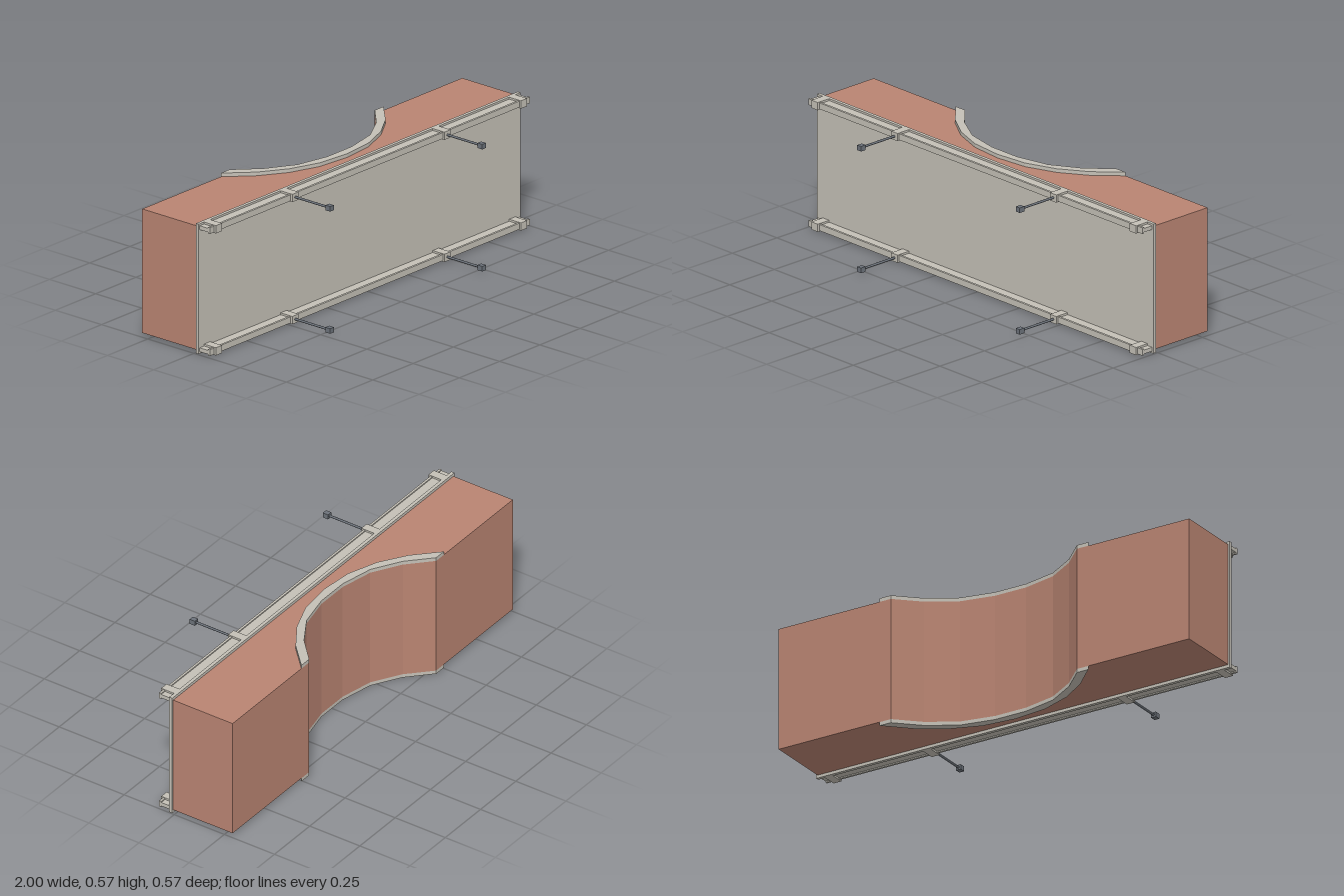
import * as THREE from 'three';

const stone = new THREE.MeshStandardMaterial({ color: 0xc4c0b6 });
stone.name = 'pale grey';
const brick = new THREE.MeshStandardMaterial({ color: 0xb98472 });
brick.name = 'terracotta';
const steel = new THREE.MeshStandardMaterial({ color: 0x6c727a });
steel.name = 'dark steel';

const MID = 0.2865; // mid height, rails and trims mirror about it
const BACK = -0.286;

// Right half of the recess curves, as [x, z]
const innerHalf = [[0.075, -0.083], [0.225, -0.115], [0.35, -0.19], [0.45, BACK]];
const outerHalf = [[0.15, -0.058], [0.285, -0.108], [0.4, -0.183], [0.505, BACK]];
const mirrored = (half, apex = []) => [
  ...half.map(([x, z]) => [-x, z]).reverse(), ...apex, ...half,
];

// Extrude a plan outline of [x, z] points upwards from y0 to y1
function slab(points, y0, y1) {
  const shape = new THREE.Shape(points.map(([x, z]) => new THREE.Vector2(x, -z)));
  const geo = new THREE.ExtrudeGeometry(shape, { depth: y1 - y0, bevelEnabled: false });
  geo.rotateX(-Math.PI / 2);
  geo.translate(0, y0, 0);
  return geo;
}

function add(parent, name, geo, mat) {
  const mesh = new THREE.Mesh(geo, mat);
  mesh.name = name;
  parent.add(mesh);
  return mesh;
}

// Box centred on (x, y), spanning z0 to z1
function box(parent, name, mat, x, y, w, h, z0, z1) {
  const mesh = add(parent, name, new THREE.BoxGeometry(w, h, z1 - z0), mat);
  mesh.position.set(x, y, (z0 + z1) / 2);
  return mesh;
}

export function createModel() {
  const model = new THREE.Group();
  model.name = 'wallBlock';

  // Solid body with the curved recess in its back
  const inner = mirrored(innerHalf);
  const body = [[-0.993, 0.01], [-0.993, BACK], ...inner, [0.993, BACK], [0.993, 0.01]];
  add(model, 'body', slab(body, 0.016, 0.557), brick);

  // Curved trims above and below the recess
  const outer = mirrored(outerHalf, [[0, -0.043]]);
  const trim = [...outer, ...[...inner].reverse()];
  add(model, 'lowerTrim', slab(trim, 0, 0.016), stone);
  add(model, 'upperTrim', slab(trim, 0.557, 0.573), stone);

  // Front facing panel
  box(model, 'frontPanel', stone, 0, MID, 2, 0.567, 0.01, 0.025);

  for (const side of [-1, 1]) {
    const rail = new THREE.Group();
    rail.name = side > 0 ? 'upperRail' : 'lowerRail';
    const y = MID + side * 0.2665;

    // T-shaped rail
    box(rail, 'railWeb', stone, 0, y, 1.986, 0.017, 0.025, 0.07);
    box(rail, 'railFlange', stone, 0, y, 1.986, 0.027, 0.07, 0.08);

    // Clamps over the rail
    for (const x of [-0.947, -0.472, 0.472, 0.947]) {
      box(rail, 'clamp', stone, x, y, 0.038, 0.034, 0.025, 0.089);
    }

    // Rods with square heads
    for (const x of [-0.472, 0.472]) {
      const rod = add(rail, 'rod', new THREE.CylinderGeometry(0.005, 0.005, 0.175, 10), steel);
      rod.rotation.x = Math.PI / 2;
      rod.position.set(x, y, 0.175);
      box(rail, 'rodHead', steel, x, y, 0.023, 0.022, 0.261, 0.287);
    }
    model.add(rail);
  }
  return model;
}
